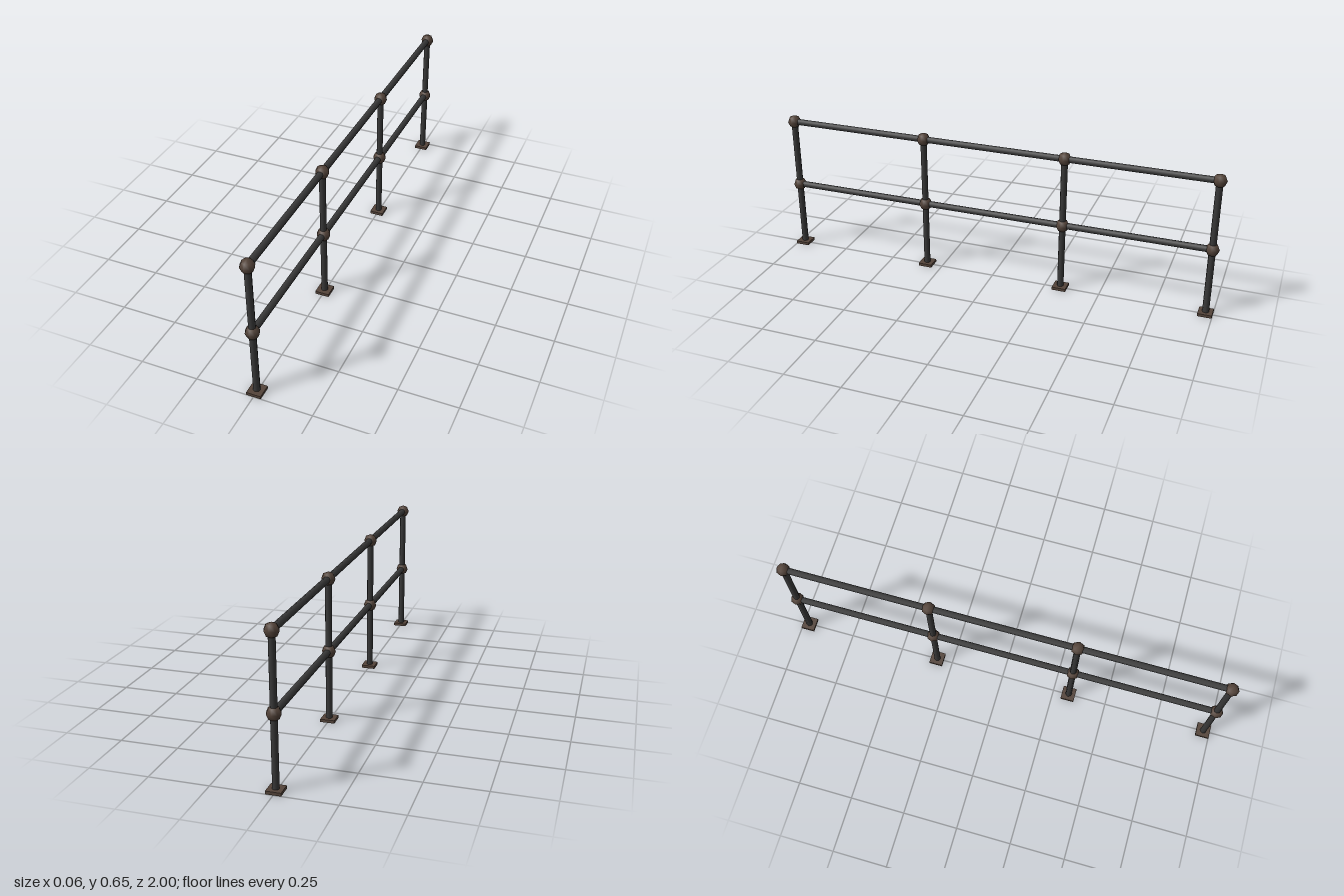
import * as THREE from 'three';

export function createModel() {
  const group = new THREE.Group();
  const iron = new THREE.MeshStandardMaterial({ color: 0x3a3a3a });
  iron.name = 'dark iron';
  const bronze = new THREE.MeshStandardMaterial({ color: 0x54443a });
  bronze.name = 'brown metal';

  const END_Z = 0.969, TOP_Y = 0.625, MID_Y = 0.312, PIPE_R = 0.0147;

  function add(name, geometry, material, y, z) {
    const mesh = new THREE.Mesh(geometry, material);
    mesh.name = name;
    mesh.position.set(0, y, z);
    group.add(mesh);
  }

  const postGeo = new THREE.CylinderGeometry(PIPE_R, PIPE_R, TOP_Y, 8);
  const railGeo = new THREE.CylinderGeometry(PIPE_R, PIPE_R, END_Z * 2, 8).rotateX(Math.PI / 2);
  const jointGeo = new THREE.SphereGeometry(0.03, 8, 4);
  const footGeo = new THREE.BoxGeometry(0.062, 0.013, 0.062);

  // Four evenly spaced posts with foot plates and ball joints
  for (let i = 0; i < 4; i++) {
    const z = END_Z - (i * END_Z * 2) / 3;
    add('post', postGeo, iron, TOP_Y / 2, z);
    add('footPlate', footGeo, bronze, 0.0065, z);
    for (const y of [MID_Y, TOP_Y]) add('ballJoint', jointGeo, bronze, y, z);
  }

  // Two full-length rails
  add('middleRail', railGeo, iron, MID_Y, 0);
  add('topRail', railGeo, iron, TOP_Y, 0);

  return group;
}
